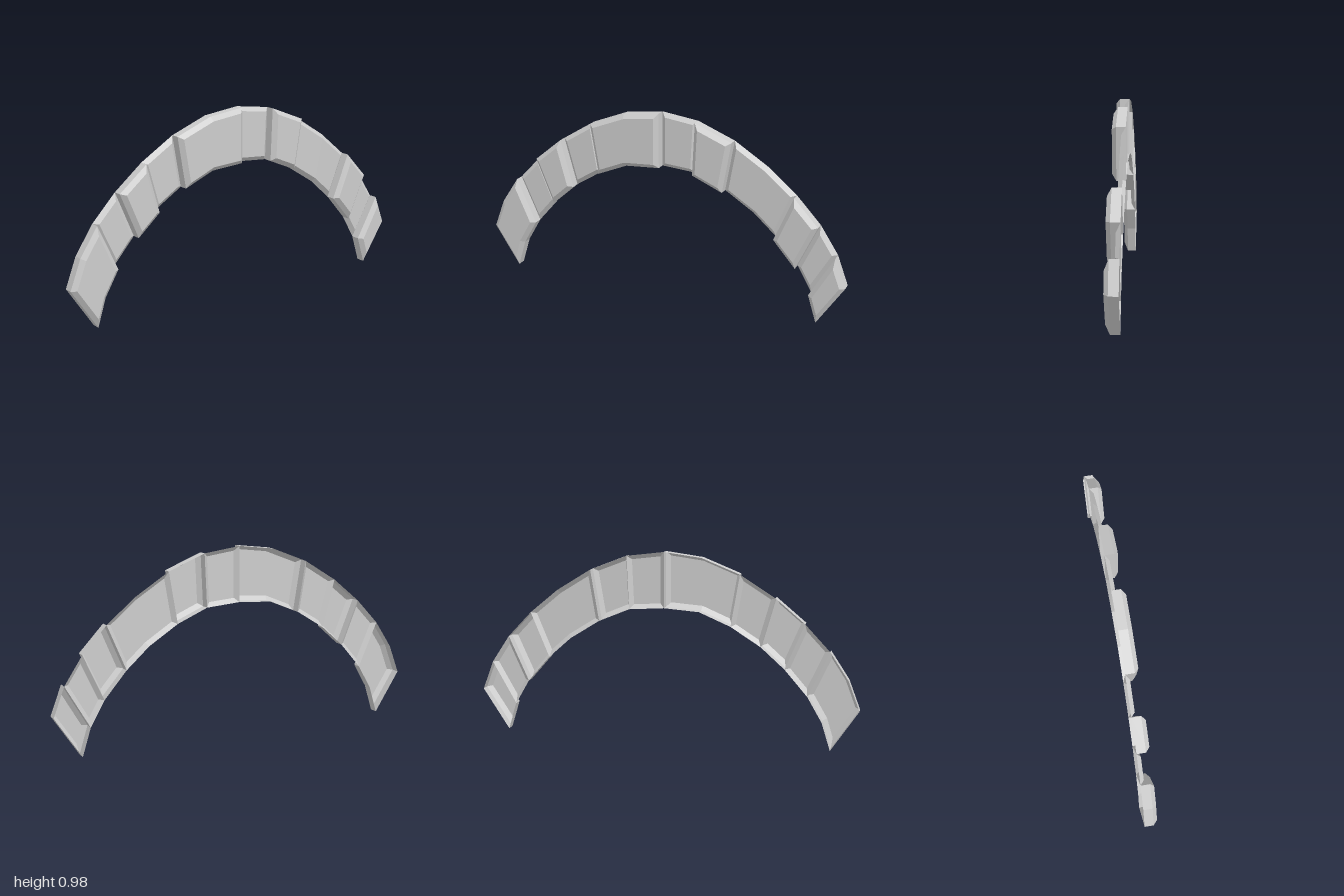
import * as THREE from 'three';

// Arch stations from foot to crown as [z, y]; mirrored to make the far half
const OUTER = [[1, 0.213], [0.942, 0.365], [0.847, 0.508], [0.72, 0.642], [0.57, 0.766], [0.39, 0.878], [0.195, 0.955], [0, 0.98]];
const INNER = [[0.86, 0], [0.815, 0.143], [0.74, 0.272], [0.622, 0.407], [0.5, 0.515], [0.345, 0.612], [0.183, 0.68], [0, 0.693]];
const BASE = -0.034, WALL = 0.047, BEVEL = 0.021, INSET = 0.022;

// Tiles along the arch: [number of segments, raised?]
const TILES = [[2, 1], [1, 0], [1, 1], [1, 0], [2, 1], [1, 0], [1, 1], [2, 0], [1, 1], [1, 0], [1, 1]];

// Side coordinates: u = -z, v = y
function fullCurve(half) {
  const near = half.map(([z, y]) => new THREE.Vector2(-z, y));
  const far = half.slice(0, -1).reverse().map(([z, y]) => new THREE.Vector2(z, y));
  return [...near, ...far];
}

// Mitred inward offset of a counter-clockwise outline
function insetOutline(pts, d) {
  const n = pts.length;
  const normal = (a, b) => new THREE.Vector2(a.y - b.y, b.x - a.x).normalize();
  return pts.map((p, i) => {
    const n1 = normal(pts[(i + n - 1) % n], p);
    const n2 = normal(p, pts[(i + 1) % n]);
    const m = n1.clone().add(n2);
    return p.clone().addScaledVector(m, d / (1 + n1.dot(n2)));
  });
}

// Open-backed tile: side walls, bevelled rim and flat face
function tileGeometry(inner, outer, wall) {
  const outline = [...inner, ...[...outer].reverse()];
  const inset = insetOutline(outline, INSET);
  const n = outline.length;
  const ring = (pts, x) => pts.map(p => [x, p.y, -p.x]);
  const base = ring(outline, BASE);
  const shoulder = ring(outline, BASE + wall);
  const top = ring(inset, BASE + wall + BEVEL);
  const pos = [];
  const quad = (a, b, c, d) => pos.push(...a, ...b, ...c, ...a, ...c, ...d);
  for (let i = 0; i < n; i++) {
    const j = (i + 1) % n;
    if (wall > 0) quad(base[i], base[j], shoulder[j], shoulder[i]);
    quad(shoulder[i], shoulder[j], top[j], top[i]);
  }
  for (let i = 0; i < inner.length - 1; i++) quad(top[i], top[i + 1], top[n - 2 - i], top[n - 1 - i]);
  const geo = new THREE.BufferGeometry();
  geo.setAttribute('position', new THREE.Float32BufferAttribute(pos, 3));
  geo.computeVertexNormals();
  return geo;
}

export function createModel() {
  const group = new THREE.Group();
  group.name = 'steppedArch';
  const grey = new THREE.MeshStandardMaterial({ color: 0xcccccc, side: THREE.DoubleSide, flatShading: true });
  grey.name = 'lightGrey';
  const outer = fullCurve(OUTER), inner = fullCurve(INNER);
  let start = 0;
  TILES.forEach(([count, raised], k) => {
    const end = start + count;
    const geo = tileGeometry(inner.slice(start, end + 1), outer.slice(start, end + 1), raised ? WALL : 0);
    const tile = new THREE.Mesh(geo, grey);
    tile.name = (raised ? 'raisedTile' : 'lowTile') + (k + 1);
    group.add(tile);
    start = end;
  });
  return group;
}
